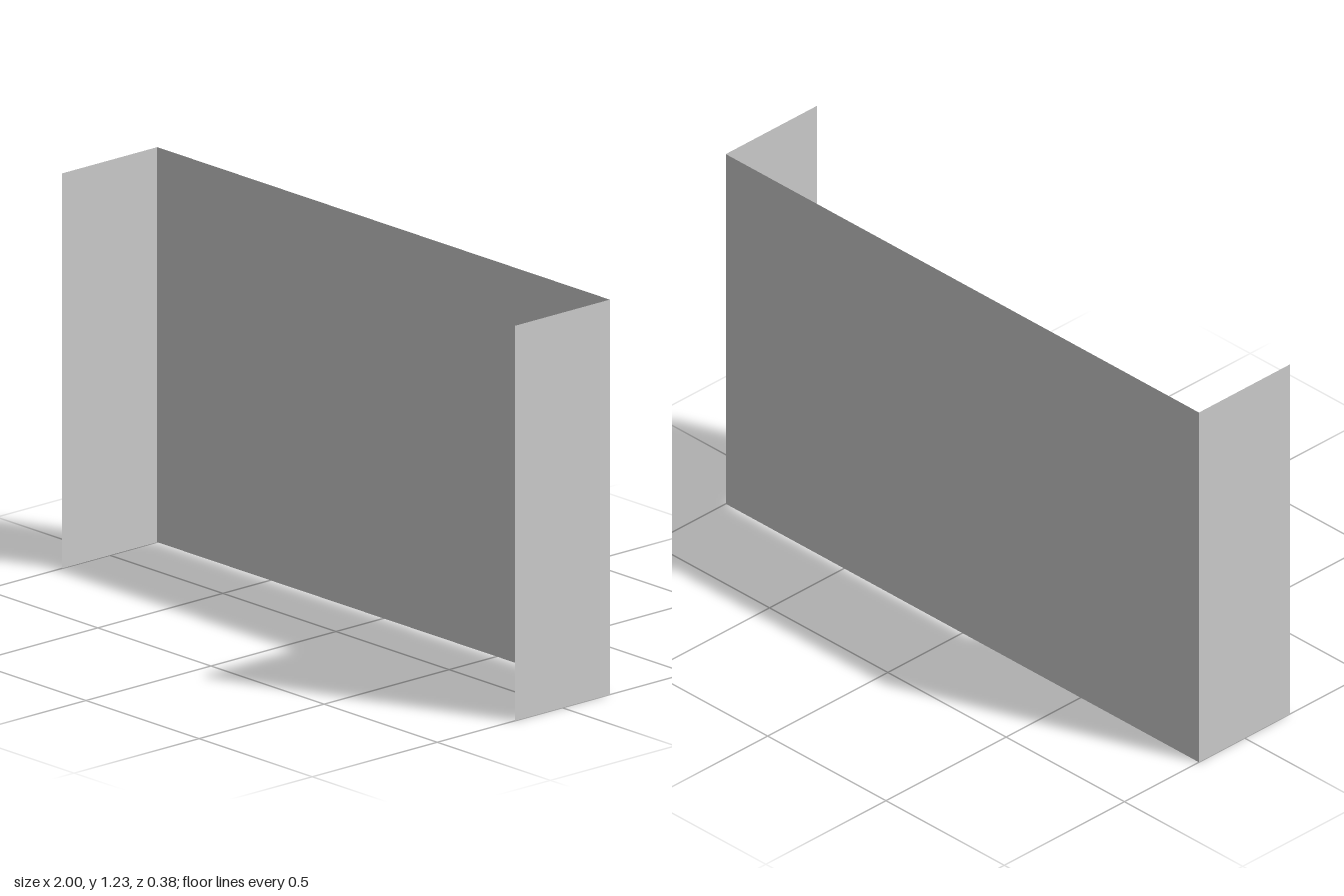
import * as THREE from 'three';

const HEIGHT = 1.23;
const HALF_WIDTH = 1;
const HALF_DEPTH = 0.19;
const SEAM_X = -0.335;

export function createModel() {
  const model = new THREE.Group();
  model.name = 'foldedScreen';

  const lightGrey = new THREE.MeshStandardMaterial({ color: 0xcccccc, side: THREE.DoubleSide });
  lightGrey.name = 'lightGrey';

  // Upright sheet standing between two floor points
  function addPanel(name, [x0, z0], [x1, z1]) {
    const geometry = new THREE.PlaneGeometry(Math.hypot(x1 - x0, z1 - z0), HEIGHT);
    const panel = new THREE.Mesh(geometry, lightGrey);
    panel.name = name;
    panel.position.set((x0 + x1) / 2, HEIGHT / 2, (z0 + z1) / 2);
    panel.rotation.y = -Math.atan2(z1 - z0, x1 - x0);
    model.add(panel);
  }

  // Floor plan: right wing, two back panels meeting at a seam, left wing
  const plan = [
    [-HALF_WIDTH, HALF_DEPTH],
    [-HALF_WIDTH, -HALF_DEPTH],
    [SEAM_X, -HALF_DEPTH],
    [HALF_WIDTH, -HALF_DEPTH],
    [HALF_WIDTH, HALF_DEPTH],
  ];
  ['rightWing', 'narrowBackPanel', 'wideBackPanel', 'leftWing'].forEach((name, i) =>
    addPanel(name, plan[i], plan[i + 1]));

  return model;
}
